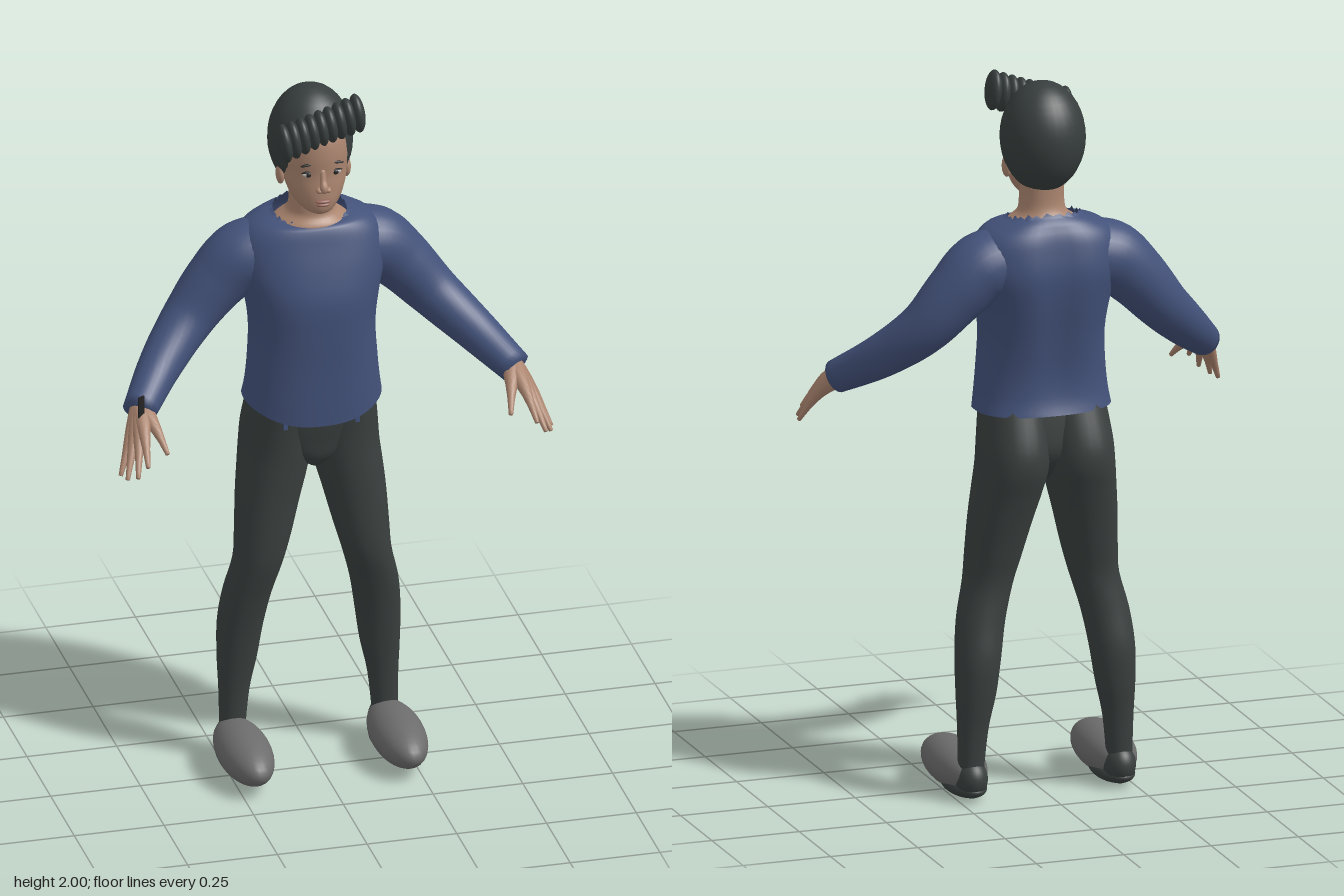
import * as THREE from 'three';

const mat = (name, color, side = THREE.FrontSide) => {
  const m = new THREE.MeshStandardMaterial({ color, side });
  m.name = name;
  return m;
};

// Smooth skin over equal-length closed rings of points, optionally capped
function skin(rings, capped = true) {
  const n = rings[0].length, pos = [], idx = [];
  rings.forEach(r => r.forEach(p => pos.push(p.x, p.y, p.z)));
  for (let j = 0; j < rings.length - 1; j++) {
    for (let i = 0; i < n; i++) {
      const a = j * n + i, b = j * n + (i + 1) % n;
      idx.push(a, b, a + n, b, b + n, a + n);
    }
  }
  if (capped) {
    [0, rings.length - 1].forEach(j => {
      const c = new THREE.Vector3();
      rings[j].forEach(p => c.addScaledVector(p, 1 / n));
      const k = pos.length / 3;
      pos.push(c.x, c.y, c.z);
      for (let i = 0; i < n; i++) {
        const a = j * n + i, b = j * n + (i + 1) % n;
        if (j === 0) idx.push(k, b, a); else idx.push(k, a, b);
      }
    });
  }
  const g = new THREE.BufferGeometry();
  g.setAttribute('position', new THREE.Float32BufferAttribute(pos, 3));
  g.setIndex(idx);
  g.computeVertexNormals();
  return g;
}

// Horizontal cross-sections from top to bottom: [y, xMin, xMax, zFront, zBack]
function loft(rows, { power = 2.2, tweak = null, capped = true, seg = 48, sub = 4 } = {}) {
  const at = (j, k) => rows[Math.max(0, Math.min(rows.length - 1, j))][k];
  const cubic = (a, b, c, d, t) =>
    b + 0.5 * t * (c - a + t * (2 * a - 5 * b + 4 * c - d + t * (3 * (b - c) + d - a)));
  const bend = v => Math.sign(v) * Math.abs(v) ** (2 / power);
  const rings = [];
  const count = (rows.length - 1) * sub;
  for (let s = 0; s <= count; s++) {
    const j = Math.min(Math.floor(s / sub), rows.length - 2), t = s / sub - j;
    const [y, x0, x1, zf, zb] = [0, 1, 2, 3, 4].map(k =>
      cubic(at(j - 1, k), at(j, k), at(j + 1, k), at(j + 2, k), t));
    const ring = [];
    for (let i = 0; i < seg; i++) {
      const a = i / seg * Math.PI * 2;
      const p = new THREE.Vector3((x0 + x1) / 2 + (x1 - x0) / 2 * bend(Math.cos(a)), y,
        (zf + zb) / 2 + (zf - zb) / 2 * bend(Math.sin(a)));
      if (tweak) tweak(p, s / count, Math.sin(a), i);
      ring.push(p);
    }
    rings.push(ring);
  }
  return skin(rings, capped);
}

// Tapered round limb through [x, y, z, radius]
function limb(points, steps = 20, seg = 20) {
  const curve = new THREE.CatmullRomCurve3(points.map(p => new THREE.Vector3(p[0], p[1], p[2])));
  const rings = [], T = new THREE.Vector3(), N = new THREE.Vector3(), B = new THREE.Vector3();
  for (let s = 0; s <= steps; s++) {
    const t = s / steps, f = t * (points.length - 1), j = Math.min(Math.floor(f), points.length - 2);
    const r = THREE.MathUtils.lerp(points[j][3], points[j + 1][3], f - j);
    const c = curve.getPoint(t);
    curve.getTangent(t, T);
    B.crossVectors(T, new THREE.Vector3(0, 0.6, -0.8)).normalize();
    N.crossVectors(B, T);
    rings.push(Array.from({ length: seg }, (_, i) => {
      const a = i / seg * Math.PI * 2;
      return c.clone().addScaledVector(N, r * Math.cos(a)).addScaledVector(B, r * Math.sin(a));
    }));
  }
  return skin(rings);
}

export function createModel() {
  const model = new THREE.Group();
  model.name = 'standingPerson';
  const skinMat = mat('skin', 0xac8670);
  const shirt = mat('blueSweater', 0x43527a, THREE.DoubleSide);
  const pants = mat('darkTrousers', 0x3a403f);
  const hair = mat('darkHair', 0x373e3d);
  const shoe = mat('greyShoe', 0x6c6c6c);
  const dark = mat('nearBlack', 0x242424);
  const white = mat('eyeWhite', 0xb8b4ae);
  const lip = mat('lip', 0x93655a);

  const add = (name, geo, material) => {
    const m = new THREE.Mesh(geo, material);
    m.name = name;
    model.add(m);
    return m;
  };
  const blob = (name, material, x, y, z, rx, ry, rz, roll = 0) => {
    const m = add(name, new THREE.SphereGeometry(1, 32, 20), material);
    m.position.set(x, y, z);
    m.scale.set(rx, ry, rz);
    m.rotation.z = roll;
    return m;
  };
  const sym = rows => rows.map(([y, w, f, b]) => [y, -w, w, f, b]);

  // Sweater body: ragged collar, spine groove and dipping front hem
  add('sweaterBody', loft(sym([
    [1.622, 0.1, -0.03, -0.185], [1.612, 0.135, -0.015, -0.21], [1.59, 0.175, -0.002, -0.228],
    [1.55, 0.2, 0.012, -0.242], [1.48, 0.205, 0.035, -0.254], [1.4, 0.185, 0.054, -0.247],
    [1.3, 0.171, 0.053, -0.228], [1.2, 0.176, 0.048, -0.212], [1.13, 0.183, 0.046, -0.212],
    [1.085, 0.19, 0.044, -0.222],
  ]), {
    power: 2.4, capped: false,
    tweak(p, t, s, i) {
      p.y -= Math.max(0, 1 - t * 6) * 0.015 * s;
      if (t === 0) p.y += [0, 0.009, -0.004, 0.005][i % 4];
      if (s > 0) p.y -= Math.max(0, t * 4 - 3) * 0.048 * s * s;
      if (s < 0) p.z += 0.016 * Math.sin(Math.PI * t) * Math.exp(-((p.x / 0.05) ** 2));
    },
  }), shirt);

  // Trouser seat joining both legs
  add('trouserSeat', loft(sym([
    [1.11, 0.16, 0.025, -0.19], [1.03, 0.165, 0.016, -0.2], [0.97, 0.14, 0.005, -0.2],
    [0.92, 0.08, -0.005, -0.17], [0.885, 0.025, -0.03, -0.13],
  ])), pants);

  for (const s of [1, -1]) {
    const side = s > 0 ? 'left' : 'right';
    const mir = pts => pts.map(([x, ...rest]) => [s * x, ...rest]);

    // Leg
    add(side + 'TrouserLeg', loft([
      [1.11, 0, 0.17, 0.022, -0.2], [1.0, -0.002, 0.184, 0.01, -0.238],
      [0.93, 0, 0.19, 0.006, -0.242], [0.86, 0.014, 0.198, 0.004, -0.222],
      [0.78, 0.036, 0.206, 0.002, -0.2], [0.68, 0.062, 0.212, 0.001, -0.176],
      [0.6, 0.085, 0.218, -0.005, -0.162], [0.5, 0.112, 0.242, -0.03, -0.17],
      [0.4, 0.13, 0.253, -0.052, -0.184], [0.3, 0.145, 0.253, -0.068, -0.179],
      [0.2, 0.166, 0.249, -0.08, -0.165], [0.08, 0.178, 0.247, -0.085, -0.155],
    ].map(([y, a, b, f, k]) => s > 0 ? [y, a, b, f, k] : [y, -b, -a, f, k]), { seg: 32 }), pants);

    // Rounded shoe with the dark sole and heel
    blob(side + 'Shoe', shoe, s * 0.214, 0.071, 0.008, 0.073, 0.066, 0.174);
    blob(side + 'Sole', pants, s * 0.212, 0.03, -0.06, 0.055, 0.03, 0.112);
    blob(side + 'Heel', pants, s * 0.212, 0.06, -0.122, 0.044, 0.055, 0.054);

    // Sleeve
    add(side + 'Sleeve', limb(mir([
      [0.1, 1.505, -0.12, 0.1], [0.185, 1.49, -0.125, 0.098], [0.255, 1.43, -0.125, 0.086],
      [0.34, 1.335, -0.105, 0.072], [0.435, 1.245, -0.03, 0.06], [0.525, 1.165, 0.08, 0.046],
    ]), 36, 28), shirt);

    // Hand: each digit runs from the wrist, so the roots merge into a palm
    const wrist = [0.518, 1.168, 0.07];
    [
      ['LittleFinger', 0.6, 1.025, 0.172], ['RingFinger', 0.59, 1.028, 0.208],
      ['MiddleFinger', 0.568, 1.043, 0.237], ['IndexFinger', 0.542, 1.075, 0.243],
      ['Thumb', 0.478, 1.09, 0.207],
    ].forEach(([name, ...tip]) => {
      const mix = (t, r) => [...wrist.map((w, k) =>
        w + (tip[k] - w) * t + (k === 1 ? 0.016 * Math.sin(Math.PI * t) : 0)), r];
      add(side + name, limb(mir([
        mix(0, 0.03), mix(0.25, 0.024), mix(0.5, 0.017), mix(0.75, 0.0105), mix(1, 0.006),
      ]), 16, 14), skinMat);
    });

    // Face details
    blob(side + 'Ear', skinMat, s * 0.092, 1.755, -0.07, 0.012, 0.03, 0.02);
    blob(side + 'EyeWhite', white, s * 0.038, 1.787, 0.021, 0.016, 0.0075, 0.006);
    blob(side + 'Iris', dark, s * 0.038, 1.787, 0.0245, 0.0075, 0.007, 0.0045);
    blob(side + 'UpperLid', dark, s * 0.039, 1.795, 0.0225, 0.018, 0.0025, 0.005, -s * 0.1);
    blob(side + 'Eyebrow', dark, s * 0.041, 1.817, 0.0245, 0.02, 0.0035, 0.005, -s * 0.12);
    blob(side + 'Nostril', skinMat, s * 0.012, 1.744, 0.04, 0.009, 0.008, 0.011);
    // Small tab under the hem
    const tab = add(side + 'BeltLoop', new THREE.BoxGeometry(0.012, 0.045, 0.008), shirt);
    tab.position.set(s * 0.1, 1.05, 0.018);
  }

  // Neck and head
  add('neck', loft(sym([
    [1.72, 0.06, -0.035, -0.155], [1.66, 0.06, -0.03, -0.155], [1.63, 0.068, -0.028, -0.165],
    [1.605, 0.1, -0.012, -0.185], [1.57, 0.13, -0.02, -0.2],
  ]), { seg: 32 }), skinMat);
  add('head', loft(sym([
    [1.95, 0.045, -0.03, -0.13], [1.92, 0.07, 0.008, -0.16], [1.88, 0.088, 0.03, -0.175],
    [1.83, 0.094, 0.036, -0.178], [1.78, 0.09, 0.033, -0.17], [1.74, 0.083, 0.036, -0.15],
    [1.7, 0.067, 0.037, -0.13], [1.672, 0.045, 0.03, -0.1], [1.658, 0.022, 0.008, -0.07],
  ]), { power: 2, seg: 36 }), skinMat);
  const nose = add('nose', limb([
    [0, 1.8, 0.026, 0.008], [0, 1.77, 0.036, 0.009], [0, 1.75, 0.045, 0.012], [0, 1.74, 0.038, 0.008],
  ], 12, 14), skinMat);
  nose.position.z = 0.001;
  blob('upperLip', lip, 0, 1.709, 0.036, 0.022, 0.006, 0.01);
  blob('lowerLip', lip, 0, 1.699, 0.035, 0.019, 0.006, 0.01);

  // Hair cap and the slanted row of rolled curls on the forehead
  blob('hairCap', hair, 0, 1.84, -0.102, 0.116, 0.153, 0.121);
  for (let i = 0; i < 9; i++) {
    const t = i / 8;
    blob('fringeRoll' + (i + 1), hair, -0.1 + 0.202 * t, 1.882 + 0.066 * t, 0.008,
      0.02, 0.056 - 0.004 * Math.sin(Math.PI * t), 0.041, 0.12);
  }

  // Loose thread standing on the right cuff
  const thread = add('cuffThread', new THREE.BoxGeometry(0.02, 0.07, 0.005), dark);
  thread.position.set(-0.53, 1.195, 0.123);
  thread.rotation.y = 0.5;
  return model;
}
